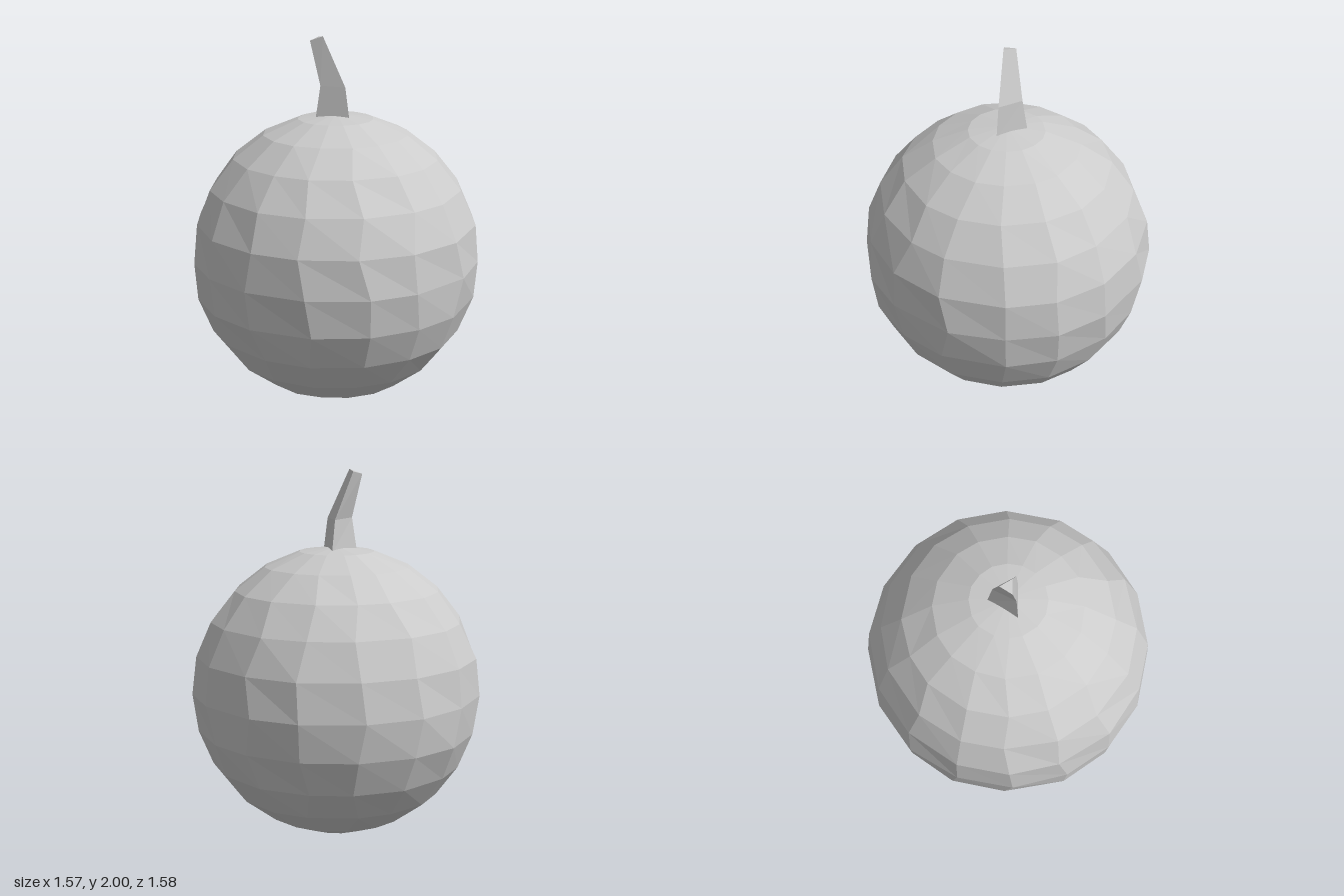
import * as THREE from 'three';

const SEGMENTS = 16, RINGS = 12, RADIUS = 0.793, CENTRE = 0.795;

// Repeatable value in -1..1 for a pair of whole numbers
function wobble(a, b) {
  const s = Math.sin(a * 127.1 + b * 311.7) * 43758.5453;
  return 2 * (s - Math.floor(s)) - 1;
}

// Faceted round body: level rings, each corner nudged a little sideways and inward
function fruitGeometry() {
  const geo = new THREE.SphereGeometry(RADIUS, SEGMENTS, RINGS);
  const pos = geo.attributes.position;
  for (let ring = 1; ring < RINGS; ring++) {
    const y = RADIUS * Math.cos(ring / RINGS * Math.PI);
    const r = RADIUS * Math.sin(ring / RINGS * Math.PI);
    for (let i = 0; i <= SEGMENTS; i++) {
      const k = i % SEGMENTS; // the seam repeats the first corner
      const angle = k / SEGMENTS * Math.PI * 2 + 0.045 * wobble(k, ring);
      const rr = r * (0.994 + 0.008 * wobble(k + 40, ring));
      pos.setXYZ(ring * (SEGMENTS + 1) + i, -rr * Math.cos(angle), y, rr * Math.sin(angle));
    }
  }
  const flat = geo.toNonIndexed();
  flat.computeVertexNormals();
  return flat;
}

// Bent three-sided stalk lofted through triangular sections
function stemGeometry() {
  const sections = [
    [[-0.1, 1.56, 0.05], [0.085, 1.56, 0.05], [0, 1.56, -0.108]],
    [[-0.075, 1.74, 0.04], [0.06, 1.735, 0.04], [-0.01, 1.735, -0.08]],
    [[-0.135, 1.975, 0.02], [-0.065, 2, 0.02], [-0.1, 1.99, -0.043]],
  ];
  const points = [];
  for (let s = 0; s < sections.length - 1; s++) {
    const low = sections[s], high = sections[s + 1];
    for (let i = 0; i < 3; i++) {
      const j = (i + 1) % 3;
      points.push(low[i], low[j], high[j], low[i], high[j], high[i]);
    }
  }
  points.push(...sections[2], ...[...sections[0]].reverse());
  const geo = new THREE.BufferGeometry();
  geo.setAttribute('position', new THREE.Float32BufferAttribute(points.flat(), 3));
  geo.computeVertexNormals();
  return geo;
}

export function createModel() {
  const group = new THREE.Group();
  const material = new THREE.MeshStandardMaterial({ color: 0xcccccc, flatShading: true });

  const fruit = new THREE.Mesh(fruitGeometry(), material);
  fruit.name = 'fruit';
  fruit.position.y = CENTRE;

  const stem = new THREE.Mesh(stemGeometry(), material);
  stem.name = 'stem';

  group.add(fruit, stem);
  return group;
}
